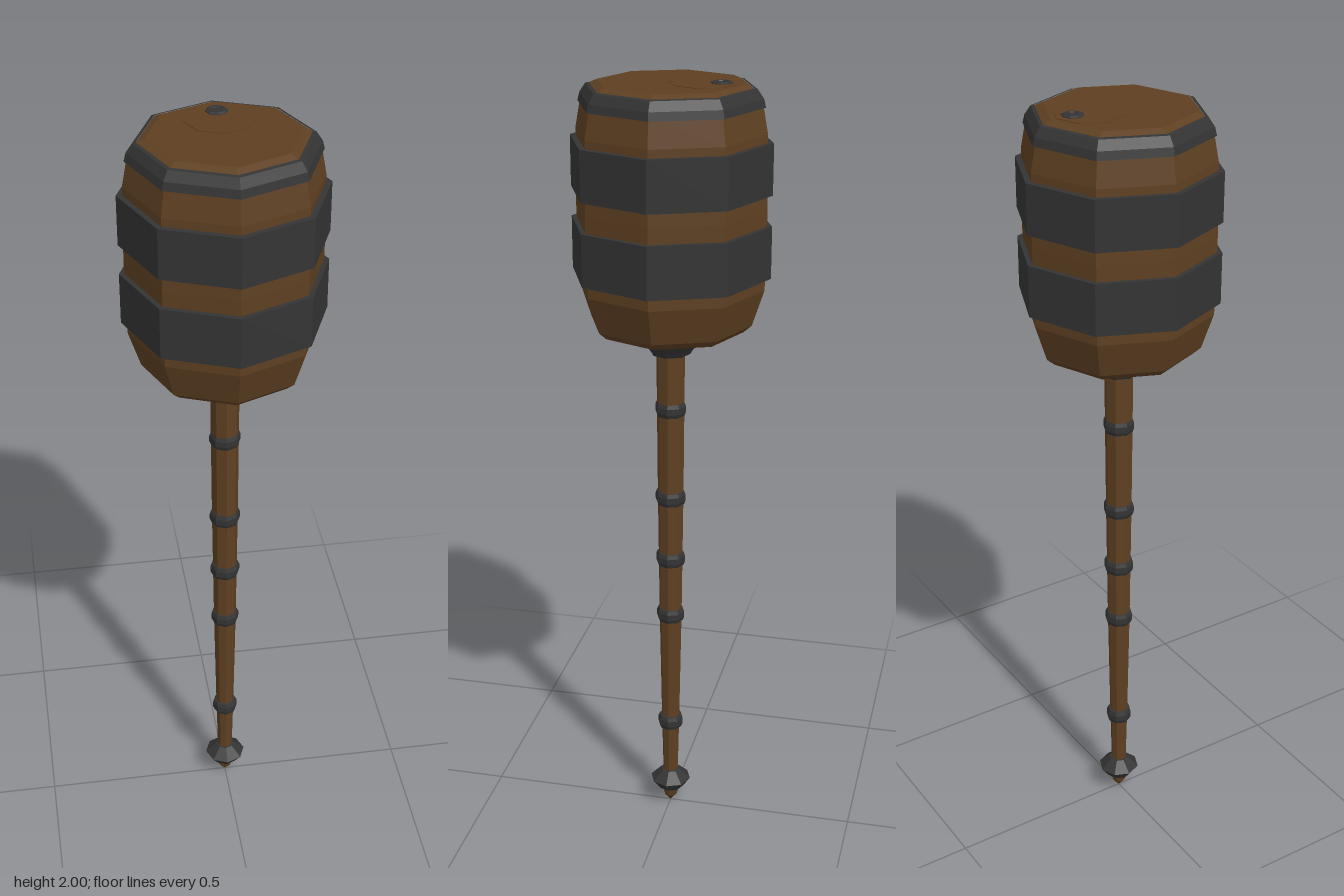
import * as THREE from 'three';

export function createModel() {
  const model = new THREE.Group();
  const wood = new THREE.MeshStandardMaterial({ color: 0x5e4022, flatShading: true });
  wood.name = 'brown wood';
  const iron = new THREE.MeshStandardMaterial({ color: 0x343434, flatShading: true });
  iron.name = 'dark iron';

  // Eight-sided turned part from [radius, height] pairs, listed bottom to top
  function turned(name, material, profile, x = 0, z = 0) {
    const points = profile.map(([r, y]) => new THREE.Vector2(r, y));
    const mesh = new THREE.Mesh(new THREE.LatheGeometry(points, 8), material);
    mesh.name = name;
    mesh.position.set(x, 0, z);
    model.add(mesh);
    return mesh;
  }

  // Barrel head with a bevelled lid
  turned('barrel', wood, [
    [0, 1.39], [0.185, 1.39], [0.205, 1.408], [0.235, 1.5], [0.238, 1.7],
    [0.235, 1.88], [0.222, 1.95], [0.2, 1.985], [0.18, 1.994], [0, 1.994],
  ]);

  // Wide iron hoops
  for (const [bottom, top] of [[1.53, 1.66], [1.735, 1.86]]) {
    turned('barrelHoop', iron, [
      [0.23, bottom], [0.25, bottom], [0.25, top], [0.23, top],
    ]);
  }
  turned('topHoop', iron, [
    [0.215, 1.942], [0.229, 1.942], [0.224, 1.962], [0.209, 1.984], [0.2, 1.986],
  ]);
  turned('bottomPlate', iron, [[0, 1.386], [0.145, 1.386], [0.145, 1.392]]);

  // Off-centre hatch and plug on the lid
  turned('hatch', wood, [[0.085, 1.99], [0.085, 1.9955], [0, 1.9955]], 0, -0.081);
  turned('plug', iron, [
    [0.027, 1.99], [0.027, 1.997], [0.022, 2], [0.013, 2], [0.012, 1.998], [0, 1.998],
  ], 0, -0.123);

  // Tapered handle with its collar
  turned('handle', wood, [
    [0, 0.09], [0.02, 0.09], [0.024, 0.26], [0.03, 0.59], [0.034, 0.93], [0.037, 1.34], [0, 1.34],
  ]);
  turned('collar', iron, [
    [0, 1.323], [0.05, 1.323], [0.057, 1.334], [0.076, 1.36], [0.054, 1.39], [0, 1.39],
  ]);

  // Handle rings, each given by height and radius
  for (const [y, r] of [[0.26, 0.034], [0.59, 0.037], [0.755, 0.039], [0.93, 0.04], [1.175, 0.04]]) {
    turned('handleRing', iron, [
      [r - 0.014, y - 0.02], [r - 0.004, y - 0.018], [r, y - 0.008],
      [r, y + 0.008], [r - 0.004, y + 0.018], [r - 0.014, y + 0.02],
    ]);
  }

  // Pommel and pointed end
  turned('pommel', iron, [
    [0, 0.048], [0.034, 0.048], [0.055, 0.076], [0.025, 0.104], [0, 0.106],
  ]);
  turned('pommelTip', wood, [[0, 0], [0.018, 0.022], [0.024, 0.05]]);

  return model;
}
